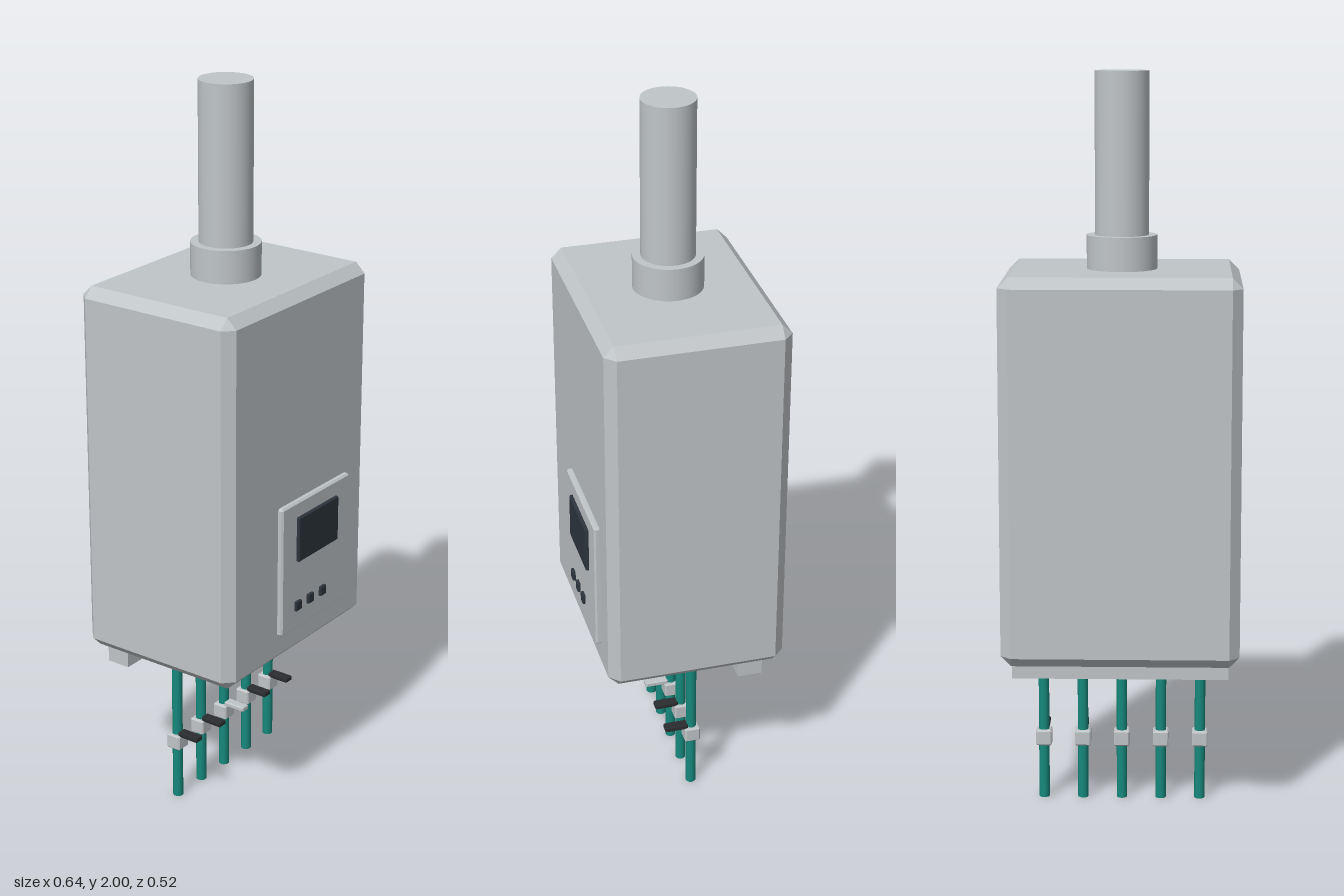
import * as THREE from 'three';
import { ConvexGeometry } from 'three/addons/geometries/ConvexGeometry.js';

const paint = (name, color) => {
  const m = new THREE.MeshStandardMaterial({ color });
  m.name = name;
  return m;
};

// Box with every edge cut at 45 degrees by c
function chamferBox(w, h, d, c) {
  const pts = [];
  for (const x of [-1, 1]) for (const y of [-1, 1]) for (const z of [-1, 1]) {
    const X = w / 2, Y = h / 2, Z = d / 2;
    pts.push(
      new THREE.Vector3(x * X, y * (Y - c), z * (Z - c)),
      new THREE.Vector3(x * (X - c), y * Y, z * (Z - c)),
      new THREE.Vector3(x * (X - c), y * (Y - c), z * Z));
  }
  return new ConvexGeometry(pts);
}

export function createModel() {
  const casing = paint('casing grey', 0xc0c5c8);
  const teal = paint('pipe teal', 0x17897d);
  const glass = paint('display slate', 0x2d353e);
  const dark = paint('handle black', 0x2a2c2f);

  const model = new THREE.Group();
  model.name = 'wallBoiler';
  const add = (name, geo, mat, x, y, z, parent = model) => {
    const m = new THREE.Mesh(geo, mat);
    m.name = name;
    m.position.set(x, y, z);
    parent.add(m);
    return m;
  };

  // Casing and flue
  add('casing', chamferBox(0.636, 1.04, 0.493, 0.028), casing, 0, 0.96, -0.0135);
  add('flueCollar', new THREE.CylinderGeometry(0.094, 0.094, 0.09, 48), casing, 0, 1.525, -0.0135);
  add('fluePipe', new THREE.CylinderGeometry(0.072, 0.072, 0.44, 48), casing, 0, 1.78, -0.0135);

  // Control panel with display and buttons
  const panel = new THREE.Group();
  panel.name = 'controlPanel';
  model.add(panel);
  add('panelPlate', chamferBox(0.318, 0.375, 0.02, 0.005), casing, 0.057, 0.7145, 0.238, panel);
  add('display', chamferBox(0.188, 0.13, 0.012, 0.003), glass, 0.058, 0.793, 0.251, panel);
  for (const x of [-0.03, 0.028, 0.087])
    add('button', chamferBox(0.026, 0.028, 0.01, 0.002), glass, x, 0.597, 0.251, panel);

  // Rear rail under the casing
  add('mountingRail', new THREE.BoxGeometry(0.58, 0.043, 0.068), casing, 0, 0.4185, -0.169);

  // Five service pipes, each with a valve and lever
  const pipe = new THREE.CylinderGeometry(0.0145, 0.0145, 0.45, 12);
  const valve = chamferBox(0.044, 0.044, 0.044, 0.004);
  const lever = chamferBox(0.028, 0.015, 0.066, 0.003);
  for (let i = -2; i <= 2; i++) {
    const line = new THREE.Group();
    line.name = 'serviceLine';
    line.position.set(i * 0.108, 0, -0.022);
    model.add(line);
    add('pipe', pipe, teal, 0, 0.225, 0, line);
    add('valve', valve, casing, 0, 0.175, 0, line);
    add('valveLever', lever, i === 0 ? casing : dark, 0, 0.2, 0.044, line);
  }
  return model;
}
